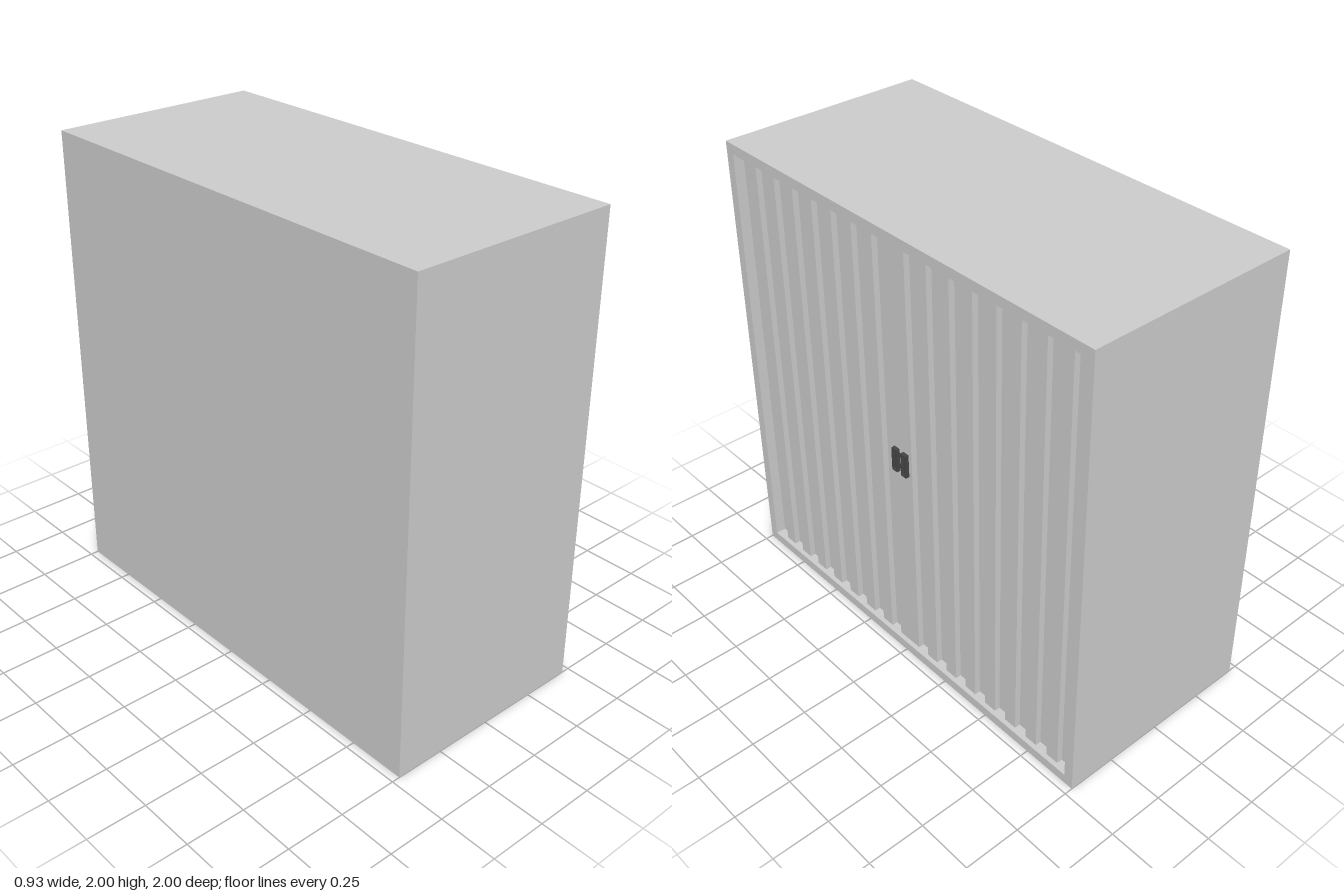
import * as THREE from 'three';

const W = 0.93, H = 2, D = 2;          // x, y, z extents
const FRONT = W / 2;                   // door side faces +x
const RIM = 0.043;                     // width of the rim round the opening
const RIDGE = FRONT - 0.02, GROOVE = FRONT - 0.045;
const DEPTH = 0.07;                    // depth of the opening's lining

const grey = new THREE.MeshStandardMaterial({ color: 0xcccccc, side: THREE.DoubleSide });
const dark = new THREE.MeshStandardMaterial({ color: 0x444444 });

function add(parent, name, geometry, material) {
  const mesh = new THREE.Mesh(geometry, material);
  mesh.name = name;
  parent.add(mesh);
  return mesh;
}

// Box without its first few faces (order: +x, -x, +y, -y, +z, -z)
function openBox(w, h, d, skip) {
  const g = new THREE.BoxGeometry(w, h, d);
  g.setIndex(Array.from(g.index.array).slice(skip * 6));
  g.clearGroups();
  return g;
}

function rectangle(PathType, w, h) {
  return new PathType([[-w, -h], [w, -h], [w, h], [-w, h]]
    .map(([x, y]) => new THREE.Vector2(x / 2, y / 2)));
}

// Rectangle with a rectangular hole
function ringShape(w, h, border) {
  const shape = rectangle(THREE.Shape, w, h);
  shape.holes.push(rectangle(THREE.Path, w - 2 * border, h - 2 * border));
  return shape;
}

// Folded shutter: alternating ridges and grooves, one wide ridge in the middle
function shutterGeometry() {
  const half = D / 2 - RIM, count = 16, step = half / count;
  const back = FRONT - DEPTH;
  const points = [new THREE.Vector2(back, -half)];
  for (let i = -count; i < count; i++) {
    const k = i < 0 ? -i - 1 : i;      // strip number counted from the middle
    const x = k % 2 === 0 ? RIDGE : GROOVE;
    points.push(new THREE.Vector2(x, i * step));
    if (i !== -1) points.push(new THREE.Vector2(x, (i + 1) * step));
  }
  // the two middle strips form one flat ridge
  const outline = points.filter((p) => Math.abs(p.y) > 1e-6);
  outline.push(new THREE.Vector2(back, half));
  const g = new THREE.ExtrudeGeometry(new THREE.Shape(outline), {
    depth: H - 2 * RIM, bevelEnabled: false,
  });
  return g.rotateX(-Math.PI / 2).translate(0, RIM, 0);
}

// Small pull: raised border round a sunken plate
function createHandle() {
  const handle = new THREE.Group();
  handle.name = 'handle';
  const border = new THREE.ExtrudeGeometry(ringShape(0.03, 0.105, 0.007), {
    depth: 0.017, bevelEnabled: false,
  }).rotateY(Math.PI / 2);
  add(handle, 'handleBorder', border, dark);
  add(handle, 'handlePlate', new THREE.BoxGeometry(0.006, 0.093, 0.018), dark)
    .position.x = 0.003;
  return handle;
}

export function createModel() {
  const cabinet = new THREE.Group();
  cabinet.name = 'cabinet';

  // Outer shell, open on the door side
  add(cabinet, 'shell', openBox(W, H, D, 1), grey).position.y = H / 2;

  // Rim and lining of the opening
  const rim = new THREE.ShapeGeometry(ringShape(D, H, RIM)).rotateY(Math.PI / 2);
  add(cabinet, 'rim', rim, grey).position.set(FRONT, H / 2, 0);
  add(cabinet, 'lining', openBox(DEPTH, H - 2 * RIM, D - 2 * RIM, 2), grey)
    .position.set(FRONT - DEPTH / 2, H / 2, 0);

  add(cabinet, 'shutter', shutterGeometry(), grey);

  // A pair of pulls on the middle ridge
  for (const side of [1, -1]) {
    const handle = createHandle();
    handle.name = side > 0 ? 'frontHandle' : 'backHandle';
    handle.position.set(RIDGE, 1, side * 0.027);
    cabinet.add(handle);
  }
  return cabinet;
}
